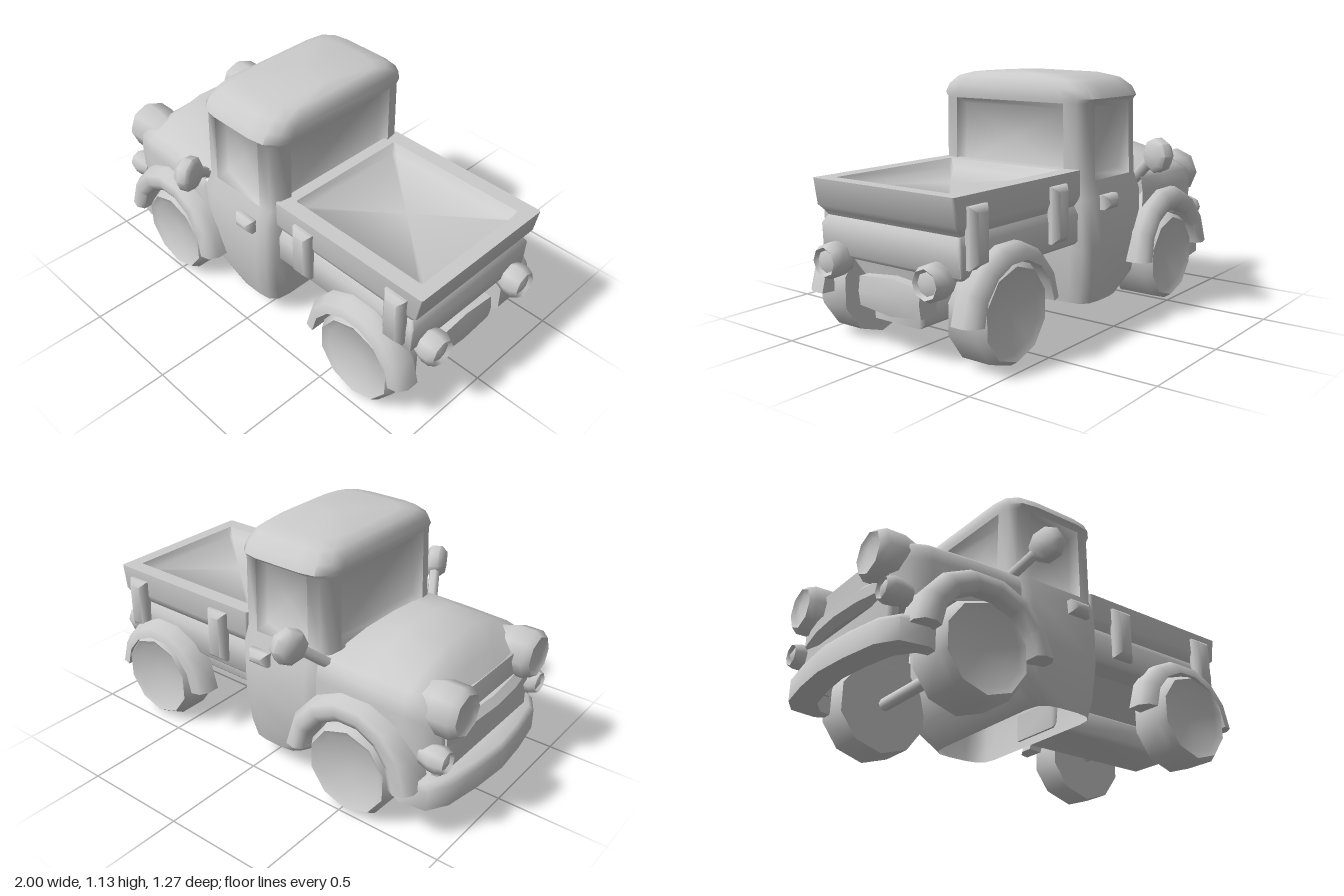
import * as THREE from 'three';
import { toCreasedNormals } from 'three/addons/utils/BufferGeometryUtils.js';

const material = new THREE.MeshStandardMaterial({ color: 0xcccccc, side: THREE.DoubleSide });
const SMOOTH = 3;

// Skin a list of equal-length cross-sections; skip(i, j) leaves openings.
function loft(rings, { closed = true, capStart = false, capEnd = false, crease = 0.75, skip = () => false } = {}) {
  const n = rings[0].length, pos = rings.flat(2), idx = [];
  for (let i = 0; i < rings.length - 1; i++) {
    for (let j = 0; j < (closed ? n : n - 1); j++) {
      if (skip(i, j)) continue;
      const a = i * n + j, b = i * n + (j + 1) % n, c = a + n, d = b + n;
      idx.push(a, b, c, b, d, c);
    }
  }
  const cap = (start, flip) => {
    const ring = rings[start / n], k = pos.length / 3;
    for (let c = 0; c < 3; c++) pos.push(ring.reduce((s, p) => s + p[c], 0) / n);
    for (let j = 0; j < n; j++) {
      const a = start + j, b = start + (j + 1) % n;
      idx.push(...(flip ? [b, a, k] : [a, b, k]));
    }
  };
  if (capStart) cap(0, true);
  if (capEnd) cap((rings.length - 1) * n, false);
  const g = new THREE.BufferGeometry();
  g.setAttribute('position', new THREE.Float32BufferAttribute(pos, 3));
  g.setIndex(idx);
  return toCreasedNormals(g, crease);
}

// Horizontal rectangle with softened corners; four points per corner.
function ring(y, x0, x1, w, r = 0.1) {
  const off = [[0, 1], [0.1, 0.42], [0.42, 0.1], [1, 0]].map(p => p.map(v => v * r));
  const back = [...off].reverse();
  return [
    ...off.map(([a, b]) => [x0 + a, y, w - b]),
    ...back.map(([a, b]) => [x1 - a, y, w - b]),
    ...off.map(([a, b]) => [x1 - a, y, -w + b]),
    ...back.map(([a, b]) => [x0 + a, y, -w + b]),
  ];
}

// Turned part with its axis along +z (profile is [radius, z]).
function turned(profile, sides, crease = 0.9) {
  const g = new THREE.LatheGeometry(profile.map(p => new THREE.Vector2(...p)), sides);
  return toCreasedNormals(g.rotateX(Math.PI / 2), crease);
}

// Block with chamfered edges.
function block(w, h, d, bevel = 0.015) {
  const a = w / 2 - bevel, b = h / 2 - bevel;
  const s = new THREE.Shape([[-a, -b], [a, -b], [a, b], [-a, b]].map(p => new THREE.Vector2(...p)));
  const g = new THREE.ExtrudeGeometry(s, { depth: d - 2 * bevel, bevelThickness: bevel, bevelSize: bevel, bevelSegments: 1 });
  return toCreasedNormals(g.translate(0, 0, -d / 2 + bevel), 0.9);
}

export function createModel() {
  const model = new THREE.Group();
  const add = (name, geometry, x = 0, y = 0, z = 0, parent = model) => {
    const m = new THREE.Mesh(geometry, material);
    m.name = name;
    m.position.set(x, y, z);
    parent.add(m);
    return m;
  };

  // Cab: skirt, doors, pillars and crowned roof in one skin
  const levels = [
    ring(0.1, -0.2, 0.095, 0.41), ring(0.19, -0.32, 0.11, 0.43), ring(0.36, -0.36, 0.125, 0.445),
    ring(0.58, -0.365, 0.13, 0.44), ring(0.66, -0.36, 0.13, 0.41), ring(1.0, -0.35, 0.13, 0.405),
    ring(1.02, -0.355, 0.135, 0.43, 0.13), ring(1.06, -0.35, 0.132, 0.41, 0.13),
    ring(1.1, -0.325, 0.118, 0.36, 0.13), ring(1.12, -0.28, 0.1, 0.28, 0.13), ring(1.135, -0.1, 0.05, 0.03, 0.03),
  ];
  const sill = 4;
  add('cab', loft(levels, { capEnd: true, crease: 1.1, skip: (i, j) => i === sill && j % 4 === 3 }));

  // Recessed window panes filling the four openings
  ['leftWindow', 'rearWindow', 'rightWindow', 'windshield'].forEach((name, k) => {
    const j = 3 + 4 * k, j2 = (j + 1) % 16;
    const outer = [levels[sill][j], levels[sill][j2], levels[sill + 1][j2], levels[sill + 1][j]];
    const alongX = k % 2 === 1;
    const inner = outer.map(([x, y, z]) => {
      const iy = 0.825 + (y - 0.825) * 0.84;
      return alongX ? [x - Math.sign(x + 0.11) * 0.05, iy, z * 0.94]
        : [-0.11 + (x + 0.11) * 0.86, iy, z - Math.sign(z) * 0.05];
    });
    add(name, loft([outer, inner], { capEnd: true, crease: SMOOTH }));
  });

  // Hood: crowned arch sections running from nose to cowl
  const hoodSection = (x, top, shoulder, w, low) => {
    const half = [[w, low], [w, shoulder - 0.08], [w * 0.98, shoulder - 0.02], [w * 0.9, shoulder + 0.01],
      [w * 0.6, (top * 2 + shoulder) / 3], [w * 0.25, top]];
    return [...half.map(([z, y]) => [x, y, z]), ...half.reverse().map(([z, y]) => [x, y, -z])];
  };
  add('hood', loft([
    hoodSection(-0.9, 0.61, 0.57, 0.36, 0.4), hoodSection(-0.85, 0.66, 0.62, 0.42, 0.38),
    hoodSection(-0.76, 0.745, 0.635, 0.437, 0.4), hoodSection(-0.55, 0.745, 0.64, 0.445, 0.42),
    hoodSection(-0.33, 0.67, 0.645, 0.445, 0.4),
  ], { closed: false, crease: 1.1 }));
  add('nosePanel', block(0.05, 0.34, 0.74), -0.88, 0.44);
  add('grilleBar', loft([-0.34, -0.17, 0, 0.17, 0.34].map(z => {
    const x = -0.955 + z * z * 0.35;
    return [[x, 0.42, z], [x, 0.47, z], [x + 0.03, 0.5, z], [x + 0.09, 0.5, z], [x + 0.09, 0.39, z], [x + 0.03, 0.39, z]];
  }), { capStart: true, capEnd: true }));

  // Front bumper: deep, shallow V that wraps around the corners
  const bumperPath = [[-0.78, 0.47], [-0.9, 0.45], [-0.955, 0.36], [-0.985, 0.18], [-1, 0]];
  const bumperLine = [...bumperPath, ...bumperPath.slice(0, 4).reverse().map(([x, z]) => [x, -z])];
  add('frontBumper', loft(bumperLine.map(([x, z]) =>
    [[x, 0.165, z], [x, 0.26, z], [x + 0.02, 0.285, z * 0.97], [x + 0.11, 0.285, z * 0.87], [x + 0.11, 0.165, z * 0.87]],
  ), { capStart: true, capEnd: true, crease: 1.0 }));

  // Cargo bed: lower band, groove, flared upper band, rim and shallow well
  const bed = (y, x0, x1, w) => ring(y, x0, x1, w, 0.012);
  const rim = bed(0.715, 0.165, 0.882, 0.315);
  add('cargoBed', loft([
    bed(0.385, 0.12, 0.89, 0.37), bed(0.4, 0.12, 0.905, 0.385), bed(0.52, 0.12, 0.91, 0.385),
    bed(0.555, 0.12, 0.89, 0.365), bed(0.575, 0.12, 0.9, 0.38), bed(0.6, 0.11, 0.925, 0.39),
    bed(0.715, 0.11, 0.945, 0.388), rim,
  ], { capStart: true, crease: 0.9 }));
  add('cargoWell', loft([rim, bed(0.675, 0.19, 0.86, 0.29)], { capEnd: true, crease: SMOOTH }));

  // Chassis and drivetrain
  add('chassisBeam', block(0.77, 0.125, 0.28), 0.475, 0.203);
  add('bedUnderbody', loft([bed(0.255, 0.22, 0.84, 0.14), bed(0.39, 0.22, 0.86, 0.27)]));
  add('rearBumper', loft([-0.17, -0.085, 0, 0.085, 0.17].map(z => {
    const k = 1 - Math.abs(z) * 1.3, h = 0.08 * k, x = 0.87;
    return [[x - 0.06, 0.26 - h, z], [x + 0.03, 0.26 - h, z], [x + 0.05 * k, 0.26, z], [x + 0.03, 0.26 + h, z], [x - 0.06, 0.26 + h, z]];
  }), { capStart: true, capEnd: true, crease: 0.95 }));
  for (const [name, x] of [['frontAxle', -0.535], ['rearAxle', 0.665]]) {
    add(name, turned([[0.03, -0.32], [0.03, 0.32]], 8), x, 0.225, 0);
  }

  // Curved mudguard over a wheel, built from sections around the arch
  const arch = (cx, cy, rIn, rOut, z0, z1, flare) => loft(Array.from({ length: 8 }, (_, i) => {
    const t = THREE.MathUtils.degToRad(3 + i * 24.86), c = Math.cos(t), s = Math.sin(t);
    const zo = z1 + flare * (1 - s);
    return [[rIn, z0], [rOut, z0], [rOut, zo - 0.05], [rOut - 0.025, zo - 0.01], [rOut - 0.07, zo], [rIn, zo - 0.02]]
      .map(([r, z]) => [cx + r * c, cy + r * s, z]);
  }), { capStart: true, capEnd: true, crease: 1.1 });

  // Flat-treaded ten-sided wheel with a shallow dished hub, inner face at z = 0
  const wheel = width => turned([[0, -0.005], [0.218, 0], [0.218, width - 0.035], [0.195, width],
    [0.165, width - 0.015], [0, width - 0.035]], 10, 1.0);
  const lamp = (r, len) => turned([[0, -len], [r * 0.75, -len], [r, -len * 0.55], [r, -0.03], [r * 0.8, 0],
    [r * 0.62, -0.015], [0, 0.004]], 8, 1.1);

  // Paired parts: built on the left, mirrored to the right
  for (const side of [1, -1]) {
    const half = new THREE.Group();
    half.name = side > 0 ? 'leftSideParts' : 'rightSideParts';
    half.scale.z = side;
    model.add(half);
    const put = (name, geometry, x, y, z) => add(name, geometry, x, y, z, half);

    put('frontWheel', wheel(0.21), -0.535, 0.218, 0.29);
    put('rearWheel', wheel(0.175), 0.665, 0.218, 0.29);
    put('frontFender', arch(-0.535, 0.23, 0.225, 0.33, 0.38, 0.518, 0.02));
    put('rearFender', arch(0.645, 0.205, 0.225, 0.295, 0.36, 0.465, 0.005));

    put('headlight', lamp(0.117, 0.21), -0.975, 0.575, 0.3).rotation.y = -Math.PI / 2;
    put('turnSignal', lamp(0.06, 0.12), -0.955, 0.39, 0.39).rotation.y = -Math.PI / 2;
    put('tailLight', lamp(0.078, 0.12), 0.994, 0.38, 0.28).rotation.y = Math.PI / 2;

    for (const x of [0.29, 0.82]) put('bedStake', block(0.11, 0.245, 0.07, 0.025), x, 0.55, 0.392);
    put('doorHandle', block(0.105, 0.065, 0.07, 0.022), -0.02, 0.565, 0.45);

    // Door mirror on a slanted arm
    const arm = new THREE.LineCurve3(new THREE.Vector3(-0.38, 0.6, 0.36), new THREE.Vector3(-0.285, 0.745, 0.53));
    put('mirrorArm', new THREE.TubeGeometry(arm, 1, 0.026, 6));
    const head = put('mirrorHead', turned([[0, -0.045], [0.055, -0.042], [0.08, -0.015], [0.08, 0.025], [0.06, 0.042], [0, 0.042]], 8), -0.28, 0.75, 0.553);
    head.rotation.y = Math.PI / 2 + 0.4;
  }
  return model;
}
